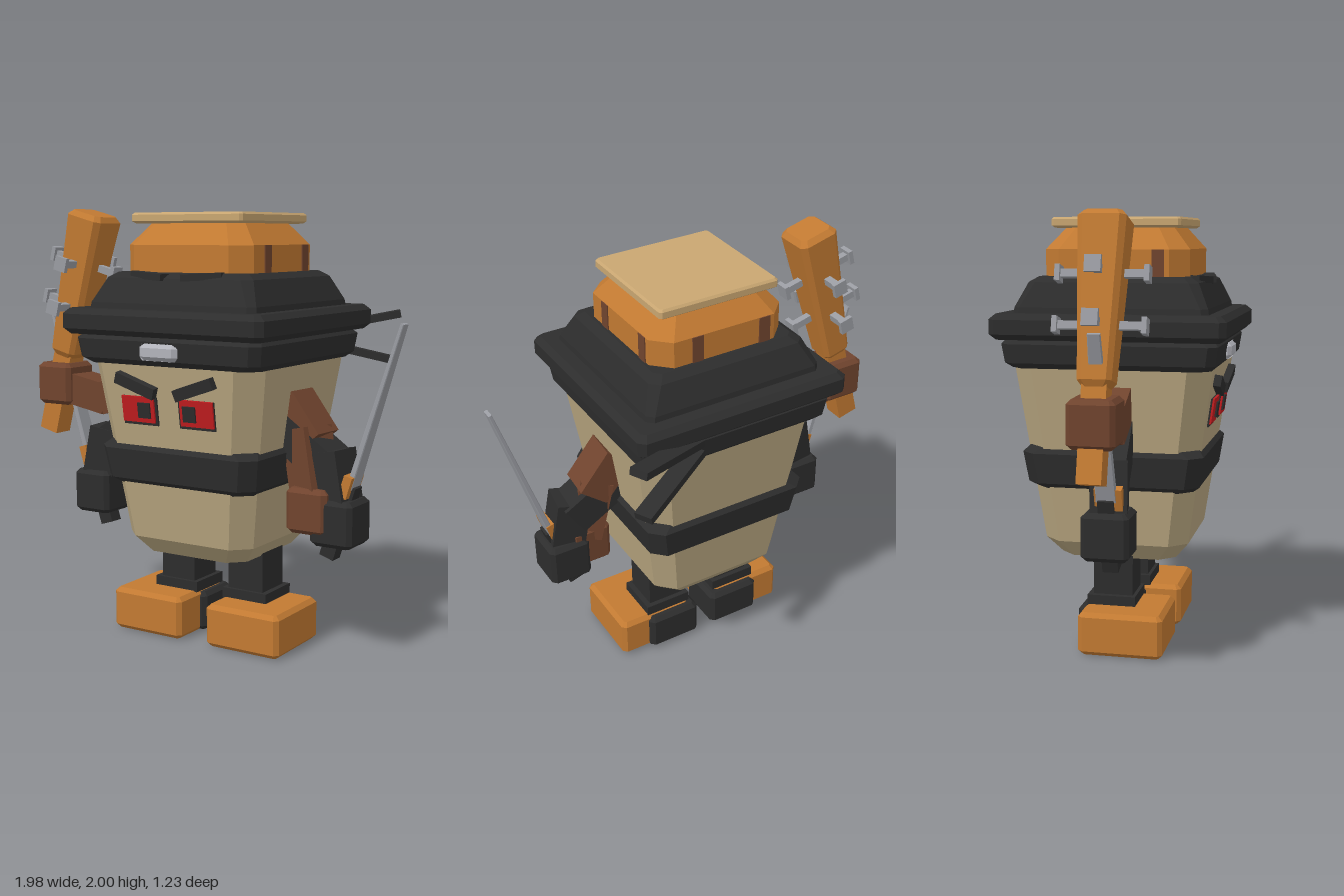
import * as THREE from 'three';

const flat = (color) => new THREE.MeshStandardMaterial({ color, flatShading: true });

export function createModel() {
  const mat = {
    black: flat(0x2d2d2d), orange: flat(0xc27a32), tan: flat(0xb8a680), lid: flat(0xc9a671),
    brown: flat(0x70442e), red: flat(0xc41d20), steel: flat(0x9a9ca2), plate: flat(0xb2b3ba),
  };
  Object.entries(mat).forEach(([k, m]) => { m.name = k; });
  const model = new THREE.Group();
  model.name = 'figure';
  const CX = 0.025, CZ = 0.083;

  const add = (parent, name, geo, material, x = 0, y = 0, z = 0) => {
    const mesh = new THREE.Mesh(geo, material);
    mesh.name = name;
    mesh.position.set(x, y, z);
    parent.add(mesh);
    return mesh;
  };

  // Stack of rectangles with cut corners; each ring is [y, halfX, halfZ, cornerCut]
  const stack = (rings) => {
    const pos = [], idx = [], n = rings.length;
    for (const [y, hx, hz, c] of rings) {
      const corners = [[hx, c - hz], [hx, hz - c], [hx - c, hz], [c - hx, hz],
        [-hx, hz - c], [-hx, c - hz], [c - hx, -hz], [hx - c, -hz]];
      for (const [x, z] of corners) pos.push(x, y, z);
    }
    for (let r = 0; r < n - 1; r++) {
      for (let i = 0; i < 8; i++) {
        const a = r * 8 + i, b = r * 8 + (i + 1) % 8;
        idx.push(a, a + 8, b, b, a + 8, b + 8);
      }
    }
    const t = (n - 1) * 8;
    for (let i = 1; i < 7; i++) idx.push(0, i, i + 1, t, t + i + 1, t + i);
    const g = new THREE.BufferGeometry();
    g.setAttribute('position', new THREE.Float32BufferAttribute(pos, 3));
    g.setIndex(idx);
    const out = g.toNonIndexed();
    out.computeVertexNormals();
    return out;
  };
  const square = (rings) => stack(rings.map(([y, h, c]) => [y, h, h, c]));
  // Box with bevelled edges, centred on its origin
  const bevelBox = (w, h, d, b = 0.02) => stack([
    [-h / 2, w / 2 - b, d / 2 - b, b / 2], [b - h / 2, w / 2, d / 2, b],
    [h / 2 - b, w / 2, d / 2, b], [h / 2, w / 2 - b, d / 2 - b, b / 2]]);
  const box = (w, h, d) => new THREE.BoxGeometry(w, h, d);
  // Box running from point a to point b
  const beam = (parent, name, a, b, wide, thick, material) => {
    const A = new THREE.Vector3(...a), B = new THREE.Vector3(...b);
    const mesh = add(parent, name, box(wide, thick, A.distanceTo(B)), material);
    mesh.position.copy(A).lerp(B, 0.5);
    mesh.lookAt(B);
    return mesh;
  };

  // Body, belt, hat and lid
  const core = (name, rings, material) => add(model, name, square(rings), material, CX, 0, CZ);
  core('body', [[0.42, 0.27, 0.07], [0.5, 0.335, 0.08], [1.32, 0.452, 0.1]], mat.tan);
  core('belt', [[0.75, 0.36, 0.07], [0.78, 0.395, 0.06], [0.92, 0.416, 0.06], [0.955, 0.385, 0.08]], mat.black);
  core('headband', [[1.31, 0.45, 0.06], [1.335, 0.474, 0.04], [1.42, 0.486, 0.04], [1.45, 0.46, 0.05]], mat.black);
  core('hatBrim', [[1.44, 0.5, 0.02], [1.465, 0.528, 0.03], [1.53, 0.528, 0.03], [1.555, 0.5, 0.02]], mat.black);
  core('hatCrown', [[1.55, 0.44, 0.03], [1.58, 0.435, 0.03], [1.69, 0.385, 0.04], [1.715, 0.345, 0.03]], mat.black);
  core('bucketTop', [[1.7, 0.33, 0.08], [1.835, 0.33, 0.08], [1.93, 0.25, 0.06]], mat.orange);
  core('lid', [[1.93, 0.28, 0.01], [1.94, 0.294, 0.012], [1.968, 0.294, 0.012], [1.978, 0.285, 0.01]], mat.lid);

  // Drips painted on the two sides and the back
  for (const turn of [Math.PI / 2, Math.PI, -Math.PI / 2]) {
    const side = new THREE.Group();
    side.name = 'drips';
    side.position.set(CX, 0, CZ);
    side.rotation.y = turn;
    for (const x of [-0.135, 0.2]) add(side, 'drip', box(0.055, 0.12, 0.008), mat.brown, x, 1.775, 0.331);
    model.add(side);
  }

  // Folds on the crown and the plate on the headband
  for (const s of [-1, 1]) {
    const fold = add(model, 'hatFold', box(0.19, 0.03, 0.06), mat.black, CX + s * 0.14, 1.7, CZ + 0.36);
    fold.rotation.set(0, s * 0.2, s * 0.06);
  }
  add(model, 'headbandPlate', bevelBox(0.2, 0.075, 0.04, 0.018), mat.plate, CX - 0.012, 1.375, CZ + 0.482);

  // Knot tails behind the headband
  beam(model, 'upperTail', [0.25, 1.42, -0.385], [0.635, 1.505, -0.575], 0.085, 0.035, mat.black);
  beam(model, 'lowerTail', [0.25, 1.37, -0.385], [0.62, 1.275, -0.575], 0.085, 0.035, mat.black);

  // Face lies on the sloping front
  const face = new THREE.Group();
  face.name = 'face';
  face.position.set(CX, 1.11, CZ + 0.422);
  face.rotation.x = 0.142;
  model.add(face);
  for (const s of [-1, 1]) {
    add(face, 'eyeRim', box(0.185, 0.13, 0.008), mat.black, s * 0.15, -0.004, 0.004);
    add(face, 'eye', box(0.172, 0.118, 0.009), mat.red, s * 0.155, 0.004, 0.012);
    add(face, 'pupil', box(0.065, 0.07, 0.009), mat.black, s * 0.12, 0.002, 0.02);
    add(face, 'brow', box(0.21, 0.052, 0.04), mat.black, s * 0.155, 0.115, 0.015).rotation.z = s * 0.33;
  }

  for (const s of [-1, 1]) {
    const X = (x) => CX + s * x;
    // Leg and foot
    add(model, 'leg', box(0.185, 0.24, 0.185), mat.black, X(0.188), 0.34, 0.072);
    add(model, 'cuff', box(0.235, 0.05, 0.225), mat.black, X(0.19), 0.22, 0.068);
    add(model, 'shoe', bevelBox(0.385, 0.2, 0.39), mat.orange, X(0.262), 0.1, 0.137);
    add(model, 'heel', bevelBox(0.27, 0.186, 0.25), mat.black, X(0.175), 0.096, 0.035);

    // Dark lower arm
    beam(model, 'lowerUpperArm', [X(0.36), 1.03, 0.1], [X(0.62), 0.86, 0.12], 0.17, 0.16, mat.black);
    beam(model, 'lowerForearm', [X(0.605), 0.94, 0.13], [X(0.65), 0.7, 0.137], 0.16, 0.16, mat.black);
    add(model, 'lowerFist', bevelBox(0.205, 0.21, 0.21), mat.black, X(0.66), 0.63, 0.137);

    // Sword held in the lower fist
    const sword = new THREE.Group();
    sword.name = 'sword';
    sword.position.set(X(0.705), 0.76, 0.14);
    sword.rotation.z = -s * 0.305;
    model.add(sword);
    add(sword, 'grip', box(0.07, 0.35, 0.07), mat.black, 0, -0.135, 0);
    add(sword, 'guard', box(0.04, 0.1, 0.12), mat.orange, 0, 0.04, 0.01);
    add(sword, 'blade', stack([[0.03, 0.014, 0.046, 0.004], [0.79, 0.008, 0.027, 0.003]]), mat.steel, 0.008 * s, 0, 0);
  }

  // Brown right arm, raised
  beam(model, 'rightUpperArm', [-0.38, 1.165, 0.1], [-0.615, 1.085, 0.11], 0.17, 0.155, mat.brown);
  beam(model, 'rightForearm', [-0.59, 1.085, 0.11], [-0.8, 1.13, 0.13], 0.16, 0.15, mat.brown);
  add(model, 'rightFist', bevelBox(0.205, 0.205, 0.205), mat.brown, -0.867, 1.148, 0.133);

  // Brown left arm, lowered
  beam(model, 'leftUpperArm', [0.41, 1.15, 0.1], [0.55, 0.97, 0.11], 0.17, 0.155, mat.brown);
  beam(model, 'leftForearm', [0.5, 1.03, 0.115], [0.565, 0.72, 0.14], 0.165, 0.155, mat.brown);
  add(model, 'leftFist', bevelBox(0.2, 0.205, 0.205), mat.brown, 0.568, 0.675, 0.15);

  // Bat with nails
  const bat = new THREE.Group();
  bat.name = 'bat';
  bat.position.set(-0.84, 1.3, 0.133);
  bat.rotation.z = -0.255;
  model.add(bat);
  add(bat, 'batGrip', box(0.105, 0.46, 0.105), mat.orange, 0, -0.18, 0);
  add(bat, 'batBarrel', stack([[-0.02, 0.05, 0.05, 0.015], [0.01, 0.072, 0.072, 0.02],
    [0.68, 0.102, 0.102, 0.025], [0.705, 0.08, 0.08, 0.02]]), mat.orange);
  for (const y of [0.24, 0.455]) {
    for (let k = 0; k < 4; k++) {
      const nail = new THREE.Group();
      nail.name = 'nail';
      nail.position.y = y;
      nail.rotation.y = k * Math.PI / 2;
      add(nail, 'nailShaft', box(0.034, 0.034, 0.13), mat.steel, 0, 0, 0.125);
      add(nail, 'nailHead', box(0.068, 0.068, 0.022), mat.steel, 0, 0, 0.187);
      bat.add(nail);
    }
  }
  return model;
}
